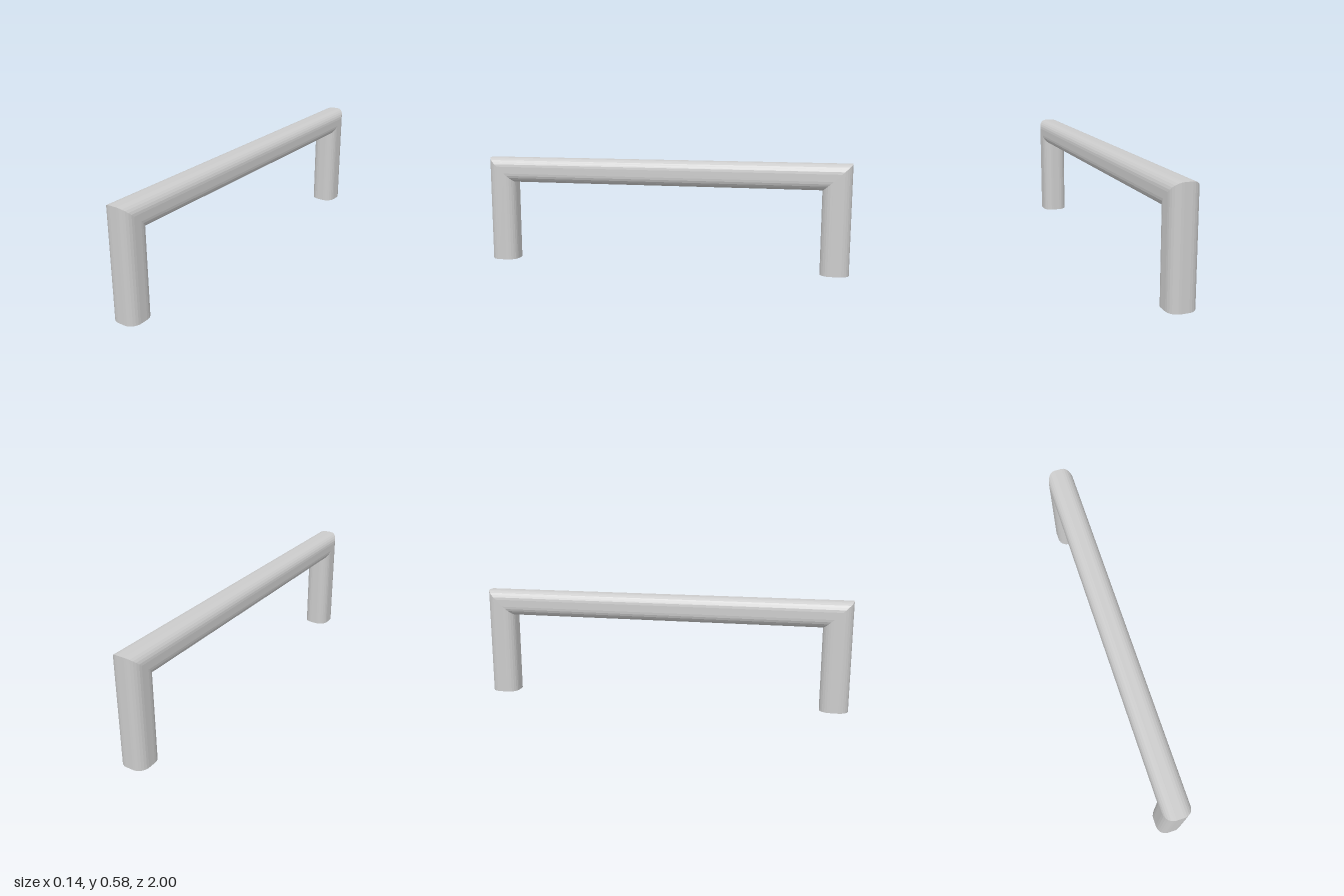
import * as THREE from 'three';

const HALF_LENGTH = 1, HEIGHT = 0.583;
const WIDTH = 0.141, LEG_DEPTH = 0.15, BAR_HEIGHT = 0.138;
const RADIUS = 0.051, CORNER_STEPS = 6;

// Rounded-square cross-section: x across, v from 0 (inner face) to 1 (outer face)
function crossSection() {
  const points = [];
  const h = WIDTH / 2 - RADIUS;
  const centres = [[h, h], [-h, h], [-h, -h], [h, -h]];
  centres.forEach(([cx, cy], corner) => {
    for (let i = 0; i <= CORNER_STEPS; i++) {
      const a = (corner + i / CORNER_STEPS) * Math.PI / 2;
      const x = cx + RADIUS * Math.cos(a);
      const y = cy + RADIUS * Math.sin(a);
      points.push({ x, v: y / WIDTH + 0.5 });
    }
  });
  return points;
}

// Ring at one end of a leg; side is +1 at the front and -1 at the back
function ring(section, side, mitred) {
  return section.map(({ x, v }) => new THREE.Vector3(
    x,
    mitred ? HEIGHT - BAR_HEIGHT * (1 - v) : 0,
    side * (HALF_LENGTH - LEG_DEPTH * (1 - v)),
  ));
}

// Wall between two rings, with optional flat end caps
function segment(name, from, to, capFrom, capTo, material) {
  const n = from.length;
  const index = [];
  for (let i = 0; i < n; i++) {
    const j = (i + 1) % n;
    index.push(i, n + i, j, j, n + i, n + j);
    if (i > 0 && i < n - 1) {
      if (capFrom) index.push(0, i, i + 1);
      if (capTo) index.push(n, n + i + 1, n + i);
    }
  }
  const geometry = new THREE.BufferGeometry().setFromPoints([...from, ...to]);
  geometry.setIndex(index);
  geometry.computeVertexNormals();
  const mesh = new THREE.Mesh(geometry, material);
  mesh.name = name;
  return mesh;
}

export function createModel() {
  const group = new THREE.Group();
  group.name = 'pullHandle';
  const material = new THREE.MeshStandardMaterial({ color: 0xcccccc, flatShading: true });
  const section = crossSection();
  const frontFoot = ring(section, 1, false);
  const frontMitre = ring(section, 1, true);
  const backMitre = ring(section, -1, true);
  const backFoot = ring(section, -1, false);

  // Two legs joined by a bar, meeting at mitred corners
  group.add(
    segment('frontLeg', frontFoot, frontMitre, true, false, material),
    segment('gripBar', frontMitre, backMitre, false, false, material),
    segment('backLeg', backMitre, backFoot, false, true, material),
  );
  return group;
}
